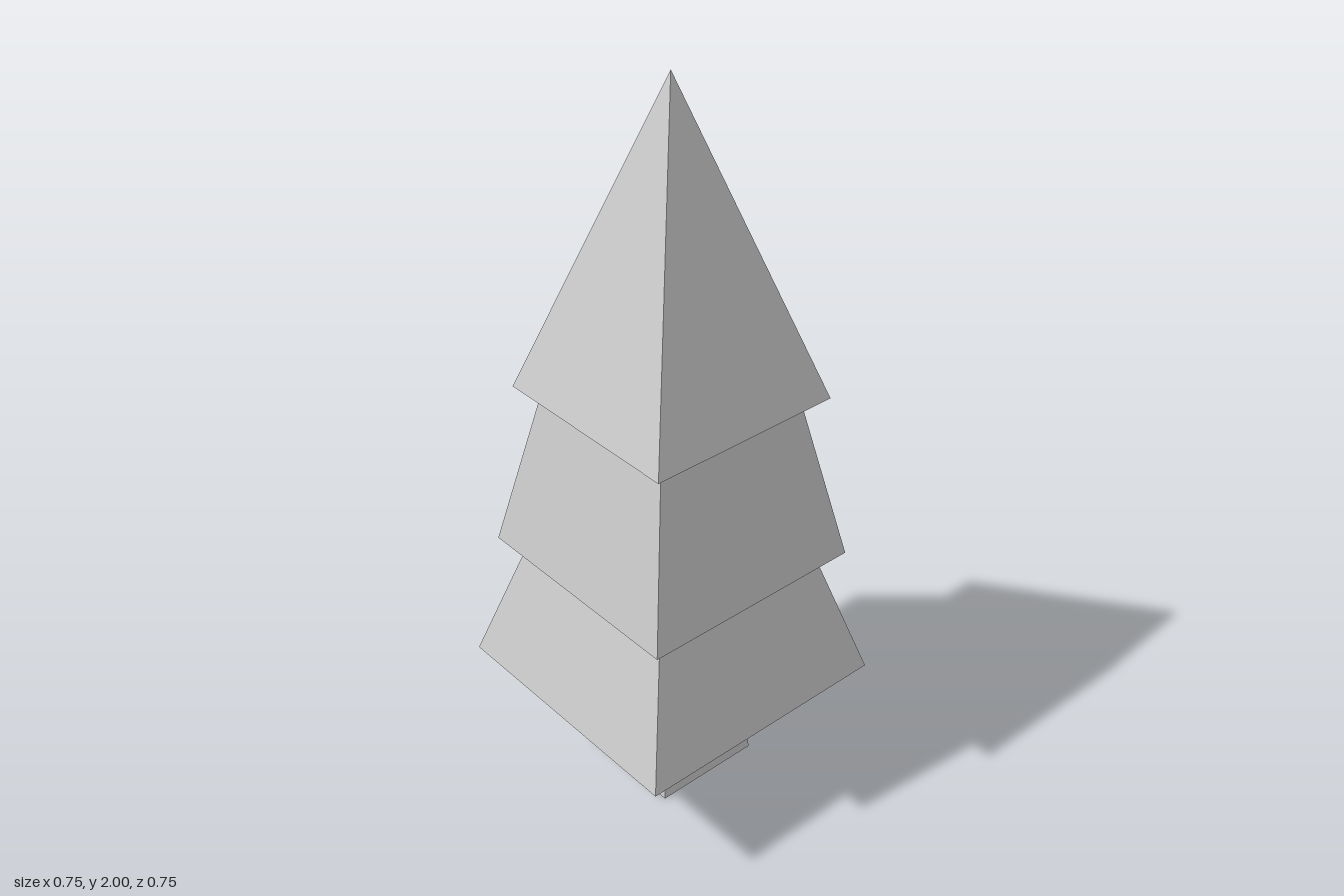
import * as THREE from 'three';

const material = new THREE.MeshStandardMaterial({ color: 0xcccccc, flatShading: true });

// Square tapered block, given half widths and heights of its bottom and top
function taperedBlock(name, bottomHalf, topHalf, y0, y1) {
  const geometry = new THREE.CylinderGeometry(
    topHalf * Math.SQRT2, bottomHalf * Math.SQRT2, y1 - y0, 4);
  geometry.rotateY(Math.PI / 4); // sides face the axes
  geometry.translate(0, (y0 + y1) / 2, 0);
  const mesh = new THREE.Mesh(geometry, material);
  mesh.name = name;
  return mesh;
}

export function createModel() {
  const tree = new THREE.Group();
  tree.name = 'pineTree';
  tree.add(
    taperedBlock('trunk', 0.156, 0.124, 0, 0.32),
    // Foliage tiers, the last one ending in a point
    taperedBlock('lowerFoliage', 0.373, 0.26, 0.32, 0.70),
    taperedBlock('middleFoliage', 0.32, 0.223, 0.70, 1.17),
    taperedBlock('topFoliage', 0.276, 0, 1.17, 2),
  );
  return tree;
}
